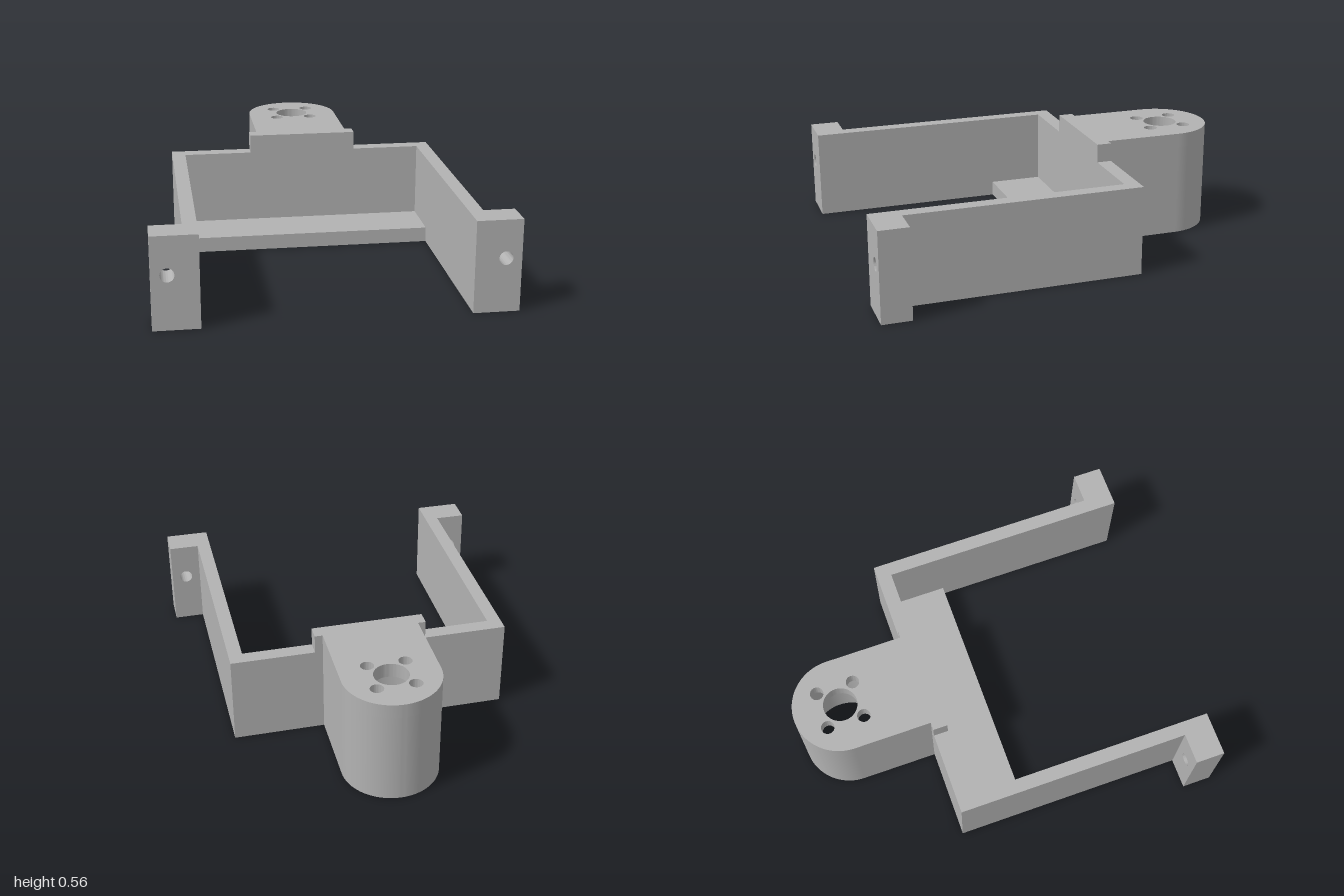
import * as THREE from 'three';
import { toCreasedNormals } from 'three/addons/utils/BufferGeometryUtils.js';

const WALL_H = 0.46, TOP_H = 0.555, PLATE_Y = 0.48;
const BACK = 0.355, INNER_BACK = 0.28, BOSS_Z = 0.755, BOSS_R = 0.245;

export function createModel() {
  const group = new THREE.Group();
  const grey = new THREE.MeshStandardMaterial({ color: 0xb2b2b2 });
  grey.name = 'grey';

  const add = (name, geometry) => {
    const mesh = new THREE.Mesh(geometry, grey);
    mesh.name = name;
    group.add(mesh);
    return mesh;
  };
  const polygon = (points) => new THREE.Shape(points.map(([x, y]) => new THREE.Vector2(x, y)));
  const hole = (shape, x, y, r) => shape.holes.push(new THREE.Path().absarc(x, y, r, 0, Math.PI * 2, true));
  const extrude = (shape, depth) => toCreasedNormals(
    new THREE.ExtrudeGeometry(shape, { depth, bevelEnabled: false, curveSegments: 40 }), 0.5);
  // Plan shapes are drawn with +y towards the back, then laid flat
  const slab = (shape, y0, y1) => extrude(shape, y1 - y0).rotateX(-Math.PI / 2).translate(0, y0, 0);
  const box = (x0, x1, y0, y1, z0, z1) => new THREE.BoxGeometry(x1 - x0, y1 - y0, z1 - z0)
    .translate((x0 + x1) / 2, (y0 + y1) / 2, (z0 + z1) / 2);

  // U-shaped frame: back wall and two arms
  add('frame', slab(polygon([
    [-0.71, -0.85], [-0.64, -0.85], [-0.64, INNER_BACK], [0.64, INNER_BACK],
    [0.64, -0.85], [0.71, -0.85], [0.71, BACK], [-0.71, BACK],
  ]), 0, WALL_H));

  // Floor ledge and raised middle of the back wall
  add('floorLedge', box(-0.64, 0.64, 0, 0.078, -INNER_BACK, 0));
  add('raisedWall', box(-0.285, 0.285, WALL_H, TOP_H, -BACK, -INNER_BACK));

  // Mounting feet, each with a screw hole running front to back
  for (const side of [-1, 1]) {
    const foot = polygon([[-0.1125, 0], [0.1125, 0], [0.1125, WALL_H], [-0.1125, WALL_H]]);
    hole(foot, side * 0.036, 0.27, 0.034);
    add(side > 0 ? 'leftFoot' : 'rightFoot', extrude(foot, 0.15)).position.set(side * 0.7525, 0, 0.85);
  }

  // Round-ended boss: hollow body below, drilled plate on top
  const bossOutline = () => new THREE.Shape()
    .moveTo(-BOSS_R, BACK).lineTo(BOSS_R, BACK).lineTo(BOSS_R, BOSS_Z)
    .absarc(0, BOSS_Z, BOSS_R, 0, Math.PI, false);
  const body = bossOutline();
  hole(body, 0, BOSS_Z, 0.2);
  add('bossBody', slab(body, 0, PLATE_Y));

  const plate = bossOutline();
  hole(plate, 0, BOSS_Z, 0.087);
  for (const sx of [-1, 1]) {
    for (const sz of [-1, 1]) hole(plate, sx * 0.095, BOSS_Z + sz * 0.095, 0.034);
  }
  add('bossPlate', slab(plate, PLATE_Y, TOP_H));

  return group;
}
